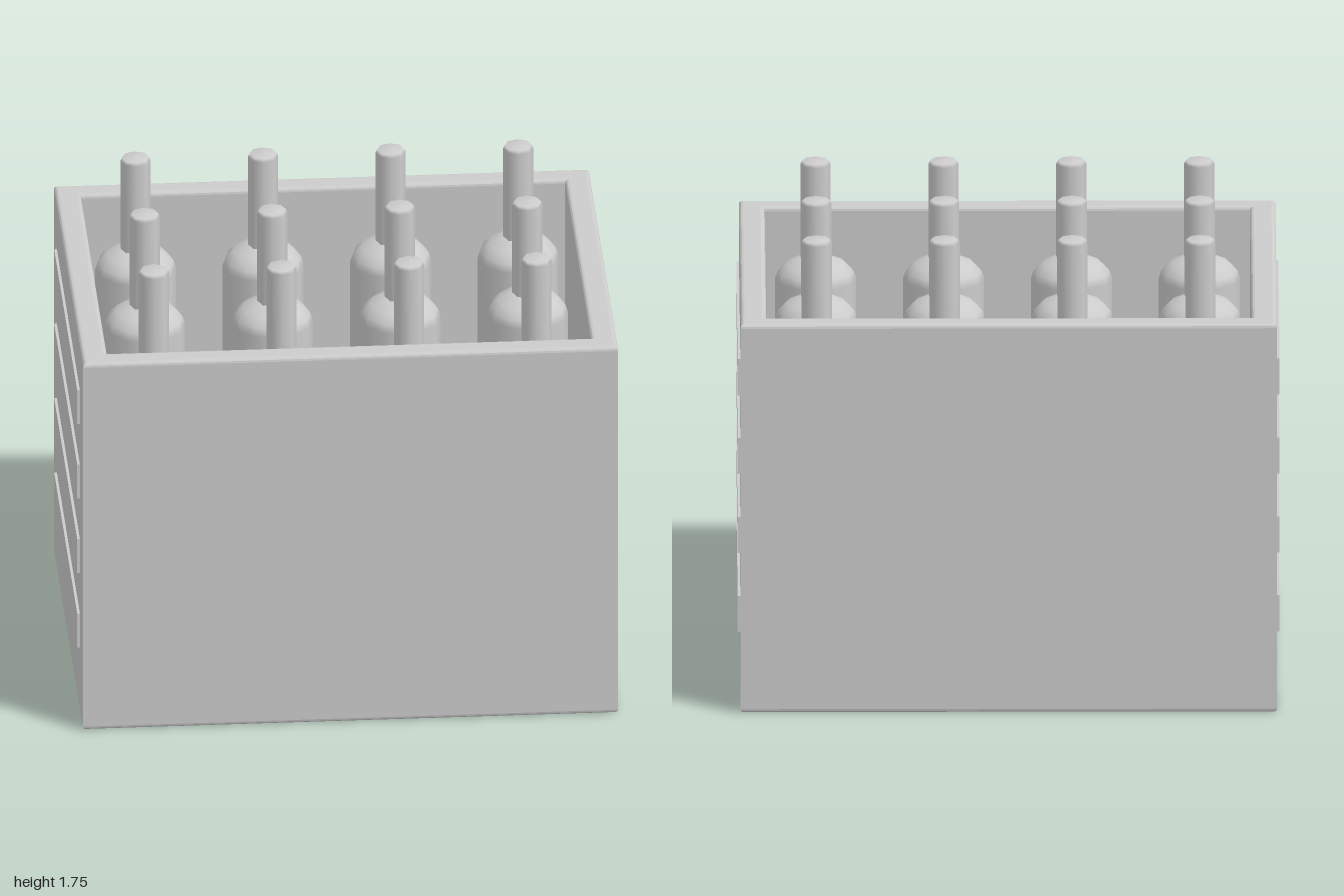
import * as THREE from 'three';

const grey = new THREE.MeshStandardMaterial({ color: 0xcccccc });
grey.name = 'light grey';

function part(name, geometry, x = 0, y = 0, z = 0) {
  const mesh = new THREE.Mesh(geometry, grey);
  mesh.name = name;
  mesh.position.set(x, y, z);
  return mesh;
}

function rectangle(path, w, d) {
  path.moveTo(-w, -d);
  path.lineTo(w, -d);
  path.lineTo(w, d);
  path.lineTo(-w, d);
  path.closePath();
  return path;
}

function createCrate() {
  const crate = new THREE.Group();
  crate.name = 'crate';

  // Four walls as one softly bevelled frame, open at the top
  const bevel = 0.015, height = 1.505;
  const outline = rectangle(new THREE.Shape(), 0.99 - bevel, 0.75 - bevel);
  outline.holes.push(rectangle(new THREE.Path(), 0.895 + bevel, 0.66 + bevel));
  const walls = new THREE.ExtrudeGeometry(outline, {
    depth: height - 2 * bevel, bevelEnabled: true,
    bevelSize: bevel, bevelThickness: bevel, bevelSegments: 3,
  });
  walls.rotateX(-Math.PI / 2);
  crate.add(part('walls', walls, 0, bevel, 0));

  // Floor slab
  crate.add(part('floor', new THREE.BoxGeometry(1.84, 0.1, 1.37), 0, 0.05, 0));

  // Raised slats on both ends
  const slat = new THREE.BoxGeometry(0.03, 0.14, 1.18);
  for (const side of [-1, 1]) {
    for (let i = 0; i < 4; i++) {
      crate.add(part('slat', slat, side * 0.985, 0.333 + i * 0.306, 0));
    }
  }
  return crate;
}

// Bottle body with sloping shoulder, and a narrow capped neck
const bodyGeometry = new THREE.LatheGeometry([
  [0, 0.1], [0.15, 0.1], [0.15, 0.1], [0.15, 1.29],
  [0.14, 1.32], [0.11, 1.35], [0.055, 1.375], [0, 1.38],
].map(([r, y]) => new THREE.Vector2(r, y)), 12);
const neckGeometry = new THREE.LatheGeometry([
  [0.056, 1.36], [0.056, 1.735], [0.05, 1.747], [0, 1.75],
].map(([r, y]) => new THREE.Vector2(r, y)), 8);

function createBottle(x, z) {
  const bottle = new THREE.Group();
  bottle.name = 'bottle';
  bottle.add(part('bottleBody', bodyGeometry), part('bottleNeck', neckGeometry));
  bottle.position.set(x, 0, z);
  return bottle;
}

export function createModel() {
  const model = new THREE.Group();
  model.name = 'bottleCrate';
  model.add(createCrate());
  // Four by three grid of bottles
  for (let col = 0; col < 4; col++) {
    for (let row = 0; row < 3; row++) {
      model.add(createBottle((col - 1.5) * 0.472, (row - 1) * 0.472));
    }
  }
  return model;
}
